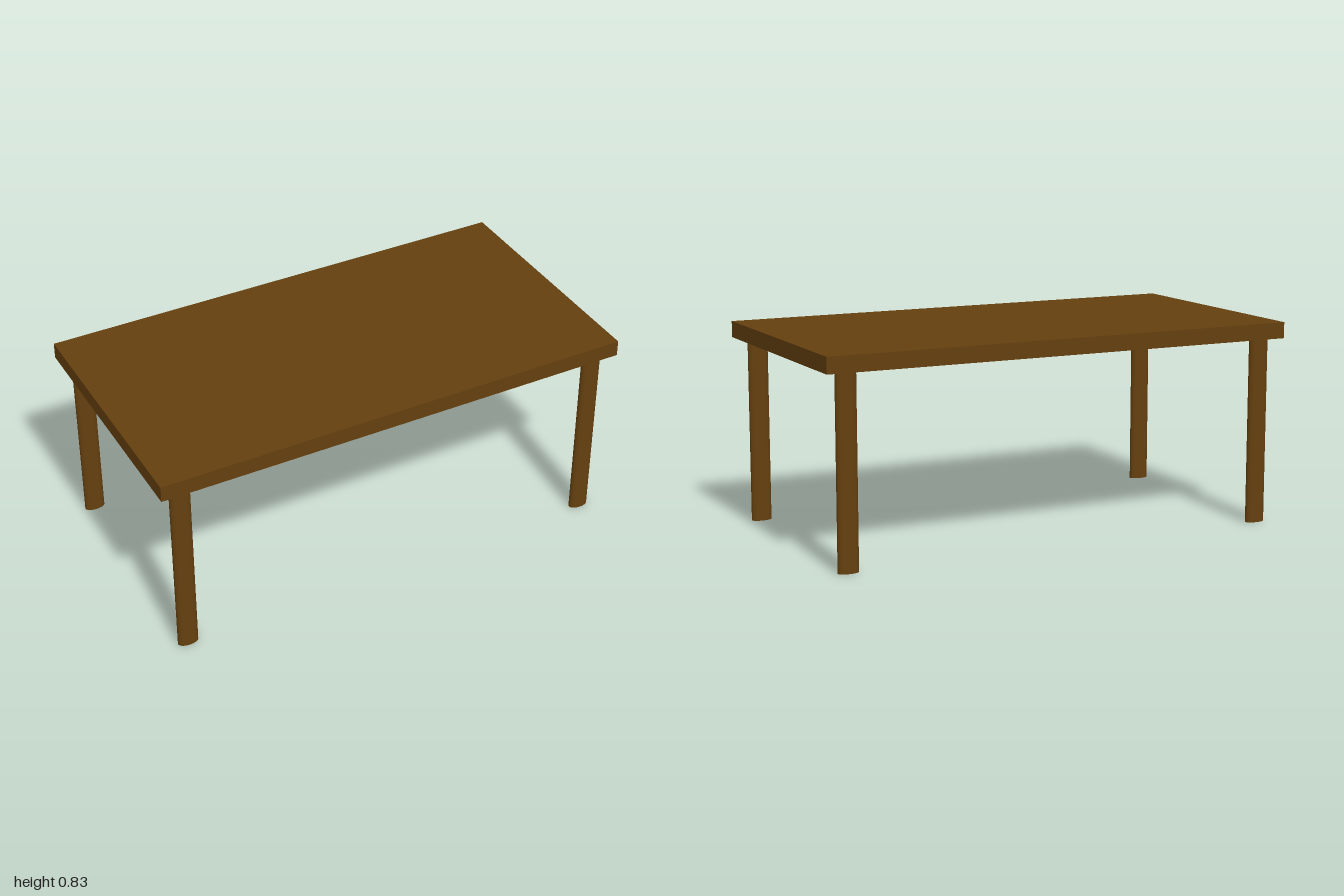
import * as THREE from 'three';

export function createModel() {
  const model = new THREE.Group();
  model.name = 'table';
  const wood = new THREE.MeshStandardMaterial({ color: 0x65400f });
  wood.name = 'dark wood';

  const underside = 0.767;
  const height = 0.833;

  // Rectangular slab
  const top = new THREE.Mesh(new THREE.BoxGeometry(2, height - underside, 1.045), wood);
  top.name = 'tableTop';
  top.position.y = (height + underside) / 2;
  model.add(top);

  // Oval legs, wider along the table's length
  const legGeometry = new THREE.CylinderGeometry(1, 1, underside, 24);
  legGeometry.scale(0.0425, 1, 0.023);
  for (const [endName, z] of [['front', 0.474], ['back', -0.474]]) {
    for (const [sideName, x] of [['Left', 0.908], ['Right', -0.908]]) {
      const leg = new THREE.Mesh(legGeometry, wood);
      leg.name = `${endName}${sideName}Leg`;
      leg.position.set(x, underside / 2, z);
      model.add(leg);
    }
  }
  return model;
}
